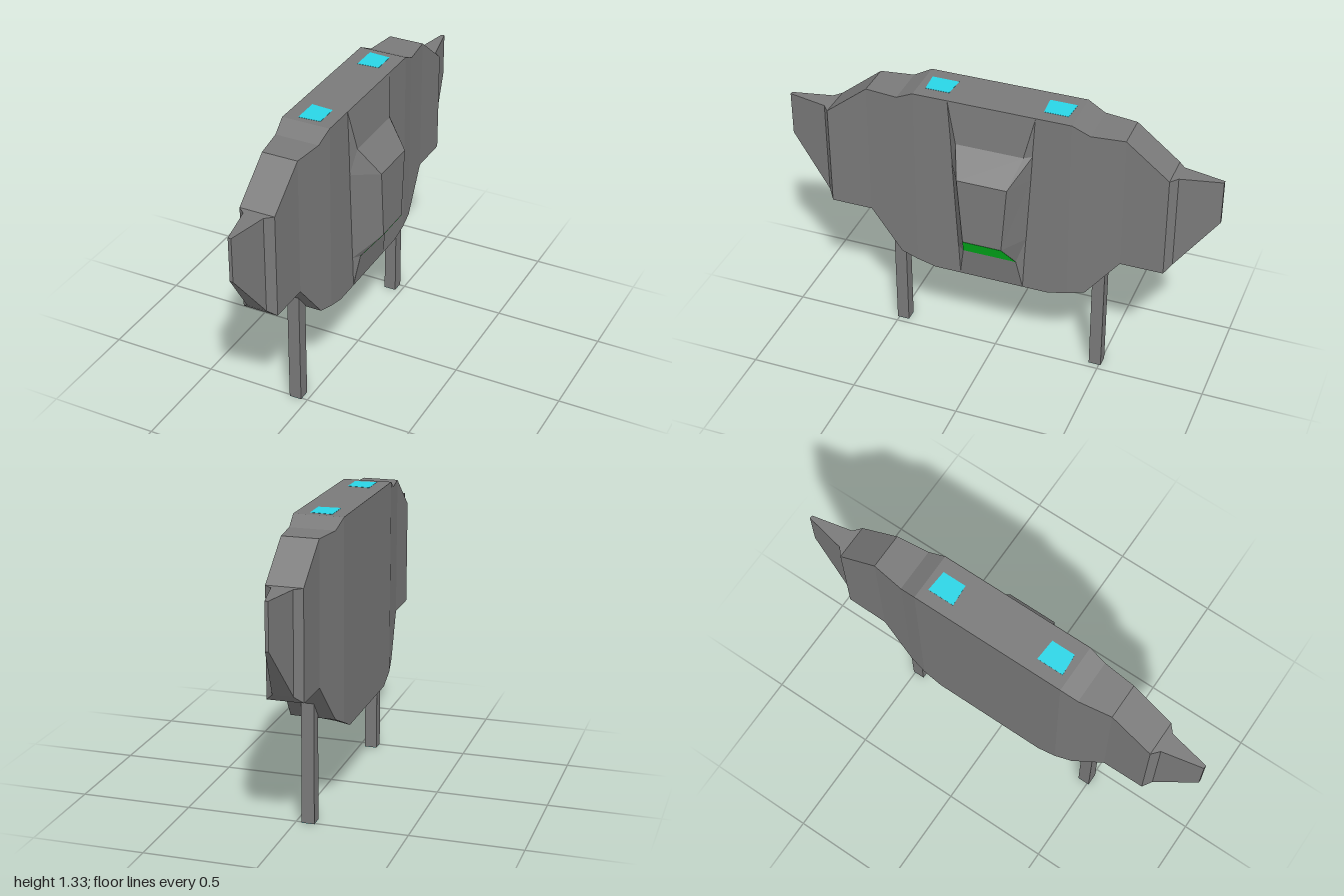
import * as THREE from 'three';

const paint = (color) => new THREE.MeshStandardMaterial({ color, flatShading: true });

// Skin a closed, capped solid over rings of four corners.
// Rings run along an axis, corners counter-clockwise about it.
function loft(name, rings, material) {
  const pos = [];
  const quad = (a, b, c, d) => pos.push(...a, ...b, ...c, ...a, ...c, ...d);
  for (let i = 0; i < rings.length - 1; i++) {
    for (let j = 0; j < 4; j++) {
      const k = (j + 1) % 4;
      quad(rings[i][j], rings[i][k], rings[i + 1][k], rings[i + 1][j]);
    }
  }
  quad(...[...rings[0]].reverse());
  quad(...rings[rings.length - 1]);
  const geo = new THREE.BufferGeometry();
  geo.setAttribute('position', new THREE.Float32BufferAttribute(pos, 3));
  geo.computeVertexNormals();
  const mesh = new THREE.Mesh(geo, material);
  mesh.name = name;
  return mesh;
}

export function createModel() {
  const group = new THREE.Group();
  group.name = 'leggedPod';
  const grey = paint(0x7a7a7a);
  const cyan = paint(0x29d5e6);
  const green = paint(0x00e628);

  // Hull stations: z, top, bottom at -x, bottom at +x, left edge, right edge
  const half = [
    [0.27, 1.325, 0.38, 0.42, -0.17, 0.052],
    [0.36, 1.325, 0.423, 0.442, -0.17, 0.052],
    [0.44, 1.285, 0.462, 0.462, -0.158, 0.043],
    [0.59, 1.285, 0.65, 0.65, -0.136, 0.027],
    [0.785, 1.13, 0.65, 0.65, -0.134, 0.027],
    [0.815, 1.13, 0.682, 0.682, -0.1, -0.008],
    [1.0, 1.13, 0.925, 0.925, -0.062, -0.047],
  ];
  const stations = [...half.map(([z, ...r]) => [-z, ...r]).reverse(), ...half];
  group.add(loft('hull', stations.map(([z, t, bl, br, xl, xr]) => [
    [xl, bl, z], [xr, br, z], [xr, t, z], [xl, t, z],
  ]), grey));

  // Side blister: y, ridge x, ridge half width, base half width
  const blister = [
    [0.42, 0.052, 0.15, 0.15],
    [0.57, 0.075, 0.125, 0.158],
    [0.69, 0.17, 0.09, 0.165],
    [1.01, 0.17, 0.115, 0.183],
    [1.13, 0.075, 0.155, 0.189],
    [1.325, 0.052, 0.2, 0.2],
  ];
  group.add(loft('sideBlister', blister.map(([y, x, w, b]) => [
    [0.051, y, b], [x, y, w], [x, y, -w], [0.051, y, -b],
  ]), grey));

  // Green panel on the blister's lower slope
  group.add(loft('greenPanel', blister.slice(1, 3).map(([y, x, w]) => [
    [x - 0.004, y - 0.001, w], [x + 0.0005, y - 0.001, w],
    [x + 0.0005, y - 0.001, -w], [x - 0.004, y - 0.001, -w],
  ]), green));

  for (const s of [1, -1]) {
    // Cyan roof panels
    const z = 0.27 * s;
    group.add(loft('roofPanel', [1.32, 1.326].map((y) => [
      [-0.11, y, z + 0.062], [-0.01, y, z + 0.055], [-0.01, y, z - 0.055], [-0.11, y, z - 0.062],
    ]), cyan));

    // Legs with cyan soles
    const leg = new THREE.Mesh(new THREE.BoxGeometry(0.057, 0.549, 0.057), grey);
    leg.name = 'leg';
    leg.position.set(-0.056, 0.2755, 0.48 * s);
    const sole = new THREE.Mesh(new THREE.BoxGeometry(0.057, 0.001, 0.057), cyan);
    sole.name = 'sole';
    sole.position.set(-0.056, 0.0005, 0.48 * s);
    group.add(leg, sole);
  }
  return group;
}
